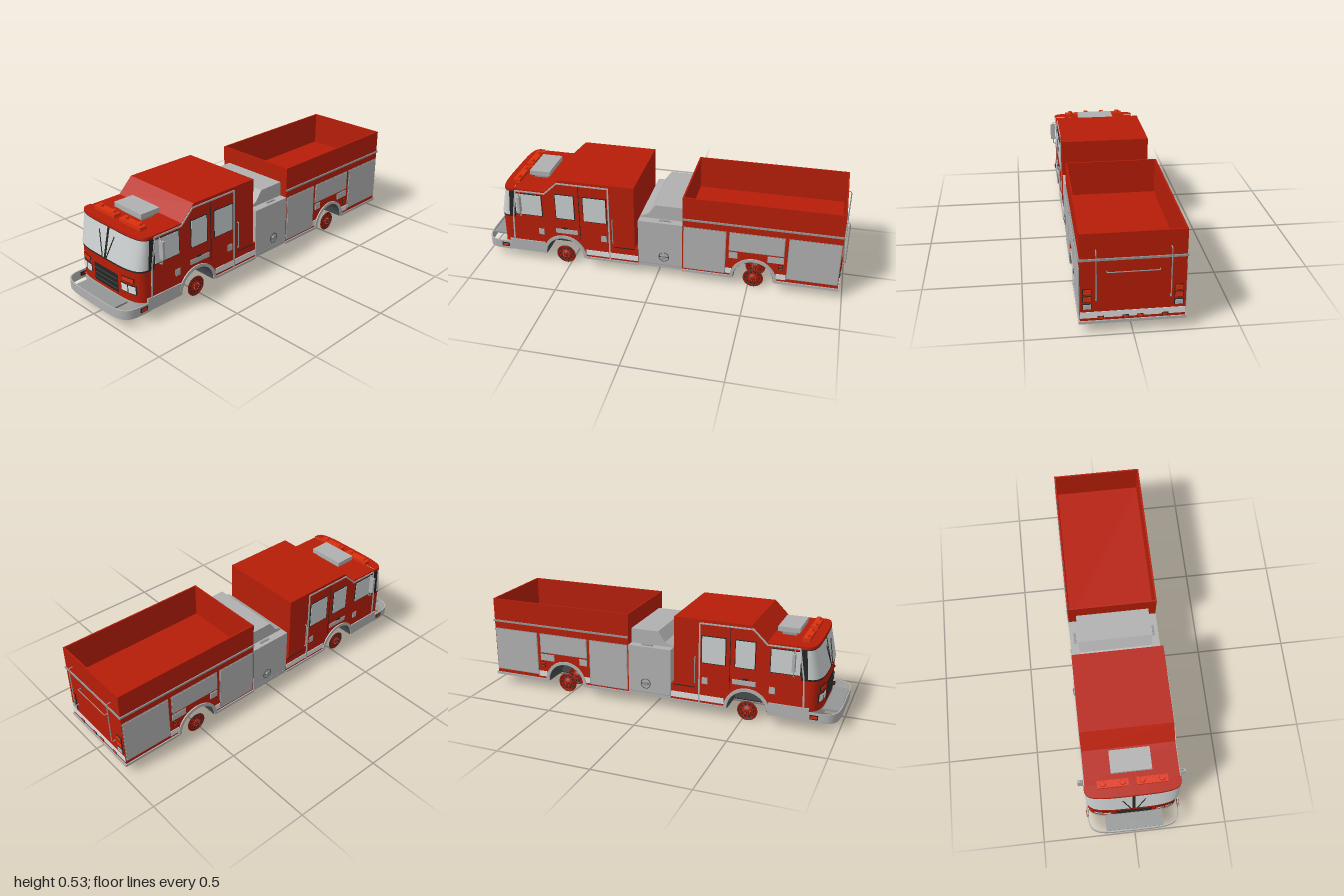
import * as THREE from 'three';

const mat = (name, color, extra = {}) => Object.assign(new THREE.MeshStandardMaterial({ color, ...extra }), { name });

export function createModel() {
  const red = mat('body red', 0xb61d07);
  const grey = mat('metal grey', 0xb0b0b0);
  const trim = mat('trim grey', 0x949696);
  const white = mat('stripe white', 0xdcdcdc);
  const glass = mat('window glass', 0xcacece);
  const black = mat('black', 0x242424);
  const dark = mat('wheel well grey', 0x484c4c);
  const lamp = mat('lamp red', 0xdc300c);
  const rim = mat('wheel red', 0xa01c0a, { side: THREE.DoubleSide });

  const model = new THREE.Group();
  model.name = 'fireTruck';
  const W = 0.243, BASE = 0.06, FLOOR = 0.075, BED = 0.325, ARCH = 0.11, AXLES = [-0.527, 0.527];

  const add = (name, geo, m) => {
    const mesh = new THREE.Mesh(geo, m);
    mesh.name = name;
    model.add(mesh);
    return mesh;
  };
  const box = (name, m, x0, x1, y0, y1, z0, z1) => {
    const b = add(name, new THREE.BoxGeometry(x1 - x0, y1 - y0, z1 - z0), m);
    b.position.set((x0 + x1) / 2, (y0 + y1) / 2, (z0 + z1) / 2);
    return b;
  };
  // Thin plate on both flanks
  const plate = (name, m, x0, x1, y0, y1, th = 0.003, inset = 0.001) => {
    box(name, m, x0, x1, y0, y1, W - inset, W + th);
    box(name, m, x0, x1, y0, y1, -W - th, -W + inset);
  };
  const framed = (name, m, frame, x0, x1, y0, y1, b = 0.004) => {
    plate(name + 'Frame', frame, x0 - b, x1 + b, y0 - b, y1 + b, 0.003);
    plate(name, m, x0, x1, y0, y1, 0.005);
  };
  // Flat moulding along a line on both flanks
  const strip = (name, m, pts, w) => {
    for (const s of [-1, 1]) for (let i = 1; i < pts.length; i++) {
      const [[x0, y0], [x1, y1]] = [pts[i - 1], pts[i]];
      const b = add(name, new THREE.BoxGeometry(Math.hypot(x1 - x0, y1 - y0) + w * 0.7, w, 0.004), m);
      b.position.set((x0 + x1) / 2, (y0 + y1) / 2, s * (W + 0.002));
      b.rotation.z = Math.atan2(y1 - y0, x1 - x0);
    }
  };
  const rod = (name, m, pts, r = 0.003) => {
    const path = new THREE.CurvePath();
    const v = pts.map(p => new THREE.Vector3(...p));
    for (let i = 1; i < v.length; i++) path.add(new THREE.LineCurve3(v[i - 1], v[i]));
    add(name, new THREE.TubeGeometry(path, (v.length - 1) * 6, r, 8), m);
  };
  const extrude = (name, m, shape, z0, z1) => {
    const g = new THREE.ExtrudeGeometry(shape, { depth: z1 - z0, bevelEnabled: false, curveSegments: 28 });
    return add(name, g.translate(0, 0, z0), m);
  };
  // Side outline with a wheel arch cut in the bottom edge
  const archedShape = (x0, x1, cx, top) => {
    const s = new THREE.Shape();
    const a = Math.asin((FLOOR - BASE) / ARCH);
    s.moveTo(x0, FLOOR);
    s.lineTo(cx - ARCH * Math.cos(a), FLOOR);
    s.absarc(cx, BASE, ARCH, Math.PI - a, a, true);
    s.lineTo(x1, FLOOR);
    top.forEach(p => s.lineTo(...p));
    return s;
  };
  const halfRing = (cx, rIn, rOut) => {
    const s = new THREE.Shape();
    s.absarc(cx, BASE, rOut, 0, Math.PI, false);
    if (rIn) s.absarc(cx, BASE, rIn, Math.PI, 0, true);
    return s;
  };

  // Curved nose: rows of points around a rounded front (p sets squareness), joined in pairs
  const row = (xb, a, w, y, z0 = -w, z1 = w, p = 4, n = 32) => {
    const ang = z => Math.asin(Math.sign(z) * Math.min(1, Math.abs(z / w) ** (p / 2)));
    return Array.from({ length: n + 1 }, (_, i) => {
      const t = THREE.MathUtils.lerp(ang(z0), ang(z1), i / n);
      const s = Math.sin(t);
      return [xb - a * Math.max(0, Math.cos(t)) ** (2 / p), y, w * Math.sign(s) * Math.abs(s) ** (2 / p)];
    });
  };
  const loft = (name, m, lower, upper) => {
    const n = lower.length, idx = [];
    for (let i = 0; i < n - 1; i++) idx.push(i, i + 1, n + i + 1, i, n + i + 1, n + i);
    const g = new THREE.BufferGeometry();
    g.setAttribute('position', new THREE.Float32BufferAttribute([...lower, ...upper].flat(), 3));
    g.setIndex(idx);
    g.computeVertexNormals();
    return add(name, g, m);
  };
  const NX = -0.8;
  const depth = y => 0.105 - 0.04 * THREE.MathUtils.clamp((y - 0.28) / 0.17, 0, 1);
  const noseRow = (y, off, z0, z1) => row(NX, depth(y) + off, W + off, y, z0, z1);
  const nose = (name, m, y0, y1, off = 0, z0 = -W - off, z1 = W + off) =>
    loft(name, m, noseRow(y0, off, z0, z1), noseRow(y1, off, z0, z1));
  const toBack = edge => edge.map(p => [NX, p[1], p[2]]);

  // Cab
  extrude('cab', red, archedShape(NX, -0.105, AXLES[0],
    [[-0.105, 0.155], [-0.123, 0.155], [-0.123, 0.53], [-0.54, 0.53], [-0.62, 0.45], [NX, 0.45]]), -W, W);
  nose('noseLower', red, BASE, 0.28);
  nose('noseUpper', red, 0.28, 0.45);
  const roofEdge = noseRow(0.452, 0.006), floorEdge = noseRow(FLOOR - 0.003, 0);
  loft('noseRoof', red, roofEdge, toBack(roofEdge));
  loft('noseFloor', black, toBack(floorEdge), floorEdge);
  nose('roofBrim', red, 0.438, 0.452, 0.006);
  nose('noseSkirt', grey, BASE, 0.11, 0.003);
  nose('windshieldFrame', black, 0.272, 0.442, 0.002);
  for (const s of [-1, 1]) {
    const h = (name, m, z0, z1, y0, y1, off) =>
      nose(name, m, y0, y1, off, s < 0 ? -z1 : z0, s < 0 ? -z0 : z1);
    h('windshield', glass, 0.008, 0.2462, 0.282, 0.434, 0.004);
    h('headlightFrame', black, 0.115, 0.215, 0.15, 0.2, 0.003);
    h('headlight', white, 0.12, 0.162, 0.155, 0.195, 0.005);
    h('headlight', white, 0.168, 0.21, 0.155, 0.195, 0.005);
    h('turnLightFrame', black, 0.125, 0.205, 0.208, 0.238, 0.003);
    h('turnLight', lamp, 0.13, 0.2, 0.212, 0.234, 0.005);
    rod('wiper', black, [[-0.912, 0.285, s * 0.015], [-0.885, 0.41, s * 0.06]], 0.0025);
  }
  nose('grille', black, 0.125, 0.225, 0.003, -0.095, 0.095);
  for (let i = 0; i < 3; i++) nose('grilleBar', dark, 0.142 + i * 0.027, 0.148 + i * 0.027, 0.005, -0.09, 0.09);

  // Cab sides
  framed('frontWindow', glass, black, -0.795, -0.645, 0.298, 0.422);
  framed('middleWindow', glass, black, -0.562, -0.46, 0.298, 0.442);
  framed('rearWindow', glass, black, -0.405, -0.28, 0.298, 0.442);
  for (const x of [-0.67, -0.31]) framed('doorHandle', grey, trim, x, x + 0.028, 0.18, 0.213, 0.002);
  plate('sidePanel', grey, -0.57, -0.445, 0.202, 0.228, 0.004);
  plate('sideMarker', black, -0.53, -0.5, 0.231, 0.239, 0.006);
  plate('cabStripe', white, -0.402, -0.106, 0.08, 0.112);
  plate('cabSkirt', red, -0.417, -0.105, 0.066, FLOOR + 0.001, 0, 0.006);
  plate('cabSill', grey, -0.402, -0.106, 0.055, 0.068, 0.006, 0.005);
  plate('frontSkirt', grey, -0.85, -0.64, BASE, 0.128, 0.006, 0.005);
  plate('seam', black, -0.432, -0.429, 0.17, 0.51, 0.002);
  plate('stepSeam', black, -0.24, -0.12, 0.15, 0.154, 0.003);
  strip('doorTrim', grey, [[-0.822, 0.13], [-0.815, 0.28], [-0.79, 0.438], [-0.625, 0.438],
    [-0.55, 0.51], [-0.265, 0.51], [-0.265, 0.065]], 0.008);
  for (const s of [-1, 1]) {
    const z = s * (W + 0.002);
    rod('cabHandrail', trim, [[-0.243, 0.325, z], [-0.243, 0.325, s * 0.255], [-0.243, 0.18, s * 0.255], [-0.243, 0.18, z]]);
    rod('mirrorArm', trim, [[-0.765, 0.427, z], [-0.765, 0.427, s * 0.264], [-0.765, 0.29, s * 0.262], [-0.765, 0.29, z]]);
    box('mirror', grey, -0.772, -0.758, 0.32, 0.417, s * 0.265 - 0.014, s * 0.265 + 0.014);
    // Roof lights
    box('lightBar', lamp, -0.822, -0.784, 0.455, 0.474, s * 0.1 - 0.08, s * 0.1 + 0.08);
    for (const o of [0.05, 0.15]) {
      const b = add('beacon', new THREE.CylinderGeometry(0.013, 0.016, 0.014, 16), lamp);
      b.position.set(-0.802, 0.479, s * o);
    }
    box('lightBarFoot', trim, -0.81, -0.795, 0.448, 0.456, s * 0.1 - 0.06, s * 0.1 + 0.06);
  }
  box('roofUnit', grey, -0.755, -0.64, 0.47, 0.496, -0.105, 0.105);
  box('roofUnitBase', trim, -0.735, -0.66, 0.449, 0.471, -0.085, 0.085);

  // Bumper band, open behind, with a centre deck
  const band = (inset, y) => row(-0.84, 0.16 - inset, 0.25 - inset, y, inset - 0.25, 0.25 - inset, 5);
  const lo = band(0, 0.058), hi = band(0, 0.107), lo2 = band(0.006, 0.058), hi2 = band(0.006, 0.107);
  loft('bumper', grey, lo, hi);
  loft('bumperInside', grey, hi2, lo2);
  loft('bumperTop', grey, hi, hi2);
  loft('bumperBottom', grey, lo2, lo);
  box('bumperDeck', trim, -0.99, -0.9, 0.09, 0.1, -0.155, 0.155);
  plate('bumperLampFrame', black, -0.9, -0.857, 0.073, 0.097, 0.009);
  plate('bumperLamp', lamp, -0.894, -0.863, 0.078, 0.092, 0.011);

  // Pump section
  box('pumpPanel', grey, -0.103, 0.14, FLOOR, 0.34, -W - 0.002, W + 0.002);
  plate('pumpSkirt', grey, -0.103, 0.14, BASE, FLOOR + 0.001, 0.002, 0.005);
  const hood = new THREE.Shape([[-0.103, 0.34], [0.14, 0.34], [0.14, 0.42], [-0.015, 0.42], [-0.055, 0.365], [-0.1, 0.345]]
    .map(p => new THREE.Vector2(...p)));
  extrude('pumpHood', grey, hood, -0.2, 0.2);
  plate('pumpSeam', trim, -0.1, 0.138, 0.078, 0.081, 0.004);
  for (const s of [-1, 1]) {
    box('pumpHoodRail', trim, 0.01, 0.07, 0.339, 0.345, s * 0.218 - 0.006, s * 0.218 + 0.006);
    const ring = add('intakeRing', new THREE.TorusGeometry(0.027, 0.002, 8, 28), dark);
    ring.position.set(0.04, 0.13, s * (W + 0.003));
    const cap = add('intakeCap', new THREE.CylinderGeometry(0.012, 0.012, 0.012, 20).rotateX(Math.PI / 2), trim);
    cap.position.set(0.04, 0.13, s * (W + 0.004));
  }
  plate('intakeBar', dark, 0.012, 0.068, 0.128, 0.132, 0.005);

  // Rear body with an open bed
  extrude('rearBody', red, archedShape(0.14, 0.975, AXLES[1], [[0.975, BED], [0.14, BED]]), -W, W);
  for (const s of [-1, 1]) {
    const z = s * (W - 0.004), x = s > 0 ? 0.971 : 0.144;
    box('bedSide', red, 0.14, 0.975, BED, 0.51, z - 0.004, z + 0.004);
    box('bedEnd', red, x - 0.004, x + 0.004, BED, 0.51, -W, W);
  }
  plate('sideRail', trim, 0.14, 0.98, 0.376, 0.386, 0.006);
  box('rearRail', trim, 0.974, 0.981, 0.376, 0.386, -W - 0.005, W + 0.005);
  framed('frontLocker', grey, trim, 0.15, 0.372, 0.08, 0.333);
  framed('middleLocker', grey, trim, 0.395, 0.68, 0.228, 0.333);
  framed('rearLocker', grey, trim, 0.706, 0.968, 0.092, 0.333);
  for (const x of [0.395, 0.6, 0.64]) framed('sideHatch', grey, trim, x, x + 0.043, 0.18, 0.214, 0.002);
  for (const y of [0.14, 0.16]) framed('sideLamp', lamp, black, 0.66, 0.678, y, y + 0.008, 0.003);
  plate('bodyStripe', white, 0.377, 0.41, 0.08, 0.112);
  plate('bodyStripe', white, 0.648, 0.7, 0.08, 0.112);
  for (const [a, b] of [[0.14, 0.412], [0.642, 0.978]]) {
    plate('bodySkirt', red, a, b - 0.003, 0.066, FLOOR + 0.001, 0, 0.006);
    plate('bodySill', grey, a, b, 0.054, 0.068, 0.006, 0.005);
  }

  // Rear face
  const rear = (name, m, y0, y1, z0, z1, th = 0.004) => box(name, m, 0.97, 0.975 + th, y0, y1, z0, z1);
  rear('rearStripe', white, 0.082, 0.114, -W, W, 0.002);
  rear('rearSkirt', red, 0.066, FLOOR + 0.001, -W, W, 0);
  rear('rearSill', grey, 0.054, 0.068, -0.249, 0.249, 0.006);
  for (const s of [-1, 1]) {
    [0.207, 0.17, 0.13].forEach((y, i) => {
      const z = s * 0.21;
      rear('tailLampFrame', black, y - 0.001, y + 0.028, z - 0.021, z + 0.021, 0.004);
      rear('tailLamp', i < 2 ? lamp : grey, y + 0.002, y + 0.025, z - 0.018, z + 0.018, 0.007);
    });
    for (const z of [s * 0.033, s * 0.148]) {
      rear('markerFrame', black, 0.074, 0.091, z - 0.015, z + 0.015, 0.004);
      rear('marker', lamp, 0.077, 0.088, z - 0.012, z + 0.012, 0.006);
    }
    rod('rearHandrail', trim, [[0.975, 0.43, s * 0.17], [0.997, 0.43, s * 0.17], [0.997, 0.18, s * 0.17], [0.975, 0.18, s * 0.17]]);
  }
  rod('rearCrossRail', trim, [[0.975, 0.321, -0.12], [0.99, 0.321, -0.12], [0.99, 0.321, 0.12], [0.975, 0.321, 0.12]], 0.0025);

  // Wheel wells and wheels
  const dish = [[0.055, -0.001], [0.049, 0.001], [0.044, -0.003], [0.026, -0.003], [0.022, 0.003], [0.012, 0.004], [0.01, 0.008], [0, 0.008]]
    .map(p => new THREE.Vector2(...p));
  const wheel = (x, z, s) => {
    const g = new THREE.Group();
    g.name = 'wheel';
    const put = (name, geo, m) => {
      const p = new THREE.Mesh(geo.rotateX(Math.PI / 2), m);
      p.name = name;
      g.add(p);
      return p;
    };
    put('rim', new THREE.LatheGeometry(dish, 36), rim);
    for (const r of [0.046, 0.022]) put('rimRing', new THREE.TorusGeometry(r, 0.0015, 6, 36).rotateX(Math.PI / 2), black);
    for (let i = 0; i < 10; i++) {
      const a = i * Math.PI / 5;
      put('rimHole', new THREE.CylinderGeometry(0.005, 0.005, 0.002, 12), black).position.set(0.035 * Math.cos(a), 0.035 * Math.sin(a), -0.003);
      put('wheelNut', new THREE.CylinderGeometry(0.002, 0.002, 0.004, 6), trim).position.set(0.017 * Math.cos(a), 0.017 * Math.sin(a), 0.005);
    }
    g.position.set(x, 0.057, z);
    if (s < 0) g.rotation.y = Math.PI;
    model.add(g);
  };
  AXLES.forEach((x, i) => {
    extrude('wellLining', dark, halfRing(x, ARCH - 0.004, ARCH + 0.001), -W - 0.001, W + 0.001);
    extrude('wellInnerWall', dark, halfRing(x, 0, ARCH - 0.003), -0.1, 0.1);
    for (const s of [-1, 1]) {
      const z = s * (W + 0.003);
      extrude('archTrim', grey, halfRing(x, ARCH - 0.001, 0.126), z - 0.004, z + 0.004);
      wheel(x, s * 0.23, s);
      if (i) wheel(x, s * 0.117, s);
    }
  });

  // Underside, set up behind the side skirts
  const cuts = [NX, AXLES[0] - ARCH, AXLES[0] + ARCH, AXLES[1] - ARCH, AXLES[1] + ARCH, 0.97];
  for (let i = 0; i < 5; i++) {
    const [w, y] = i % 2 ? [0.1, 0.056] : [0.238, FLOOR - 0.003];
    box('underside', black, cuts[i], cuts[i + 1], y, y + 0.005, -w, w);
  }
  return model;
}
